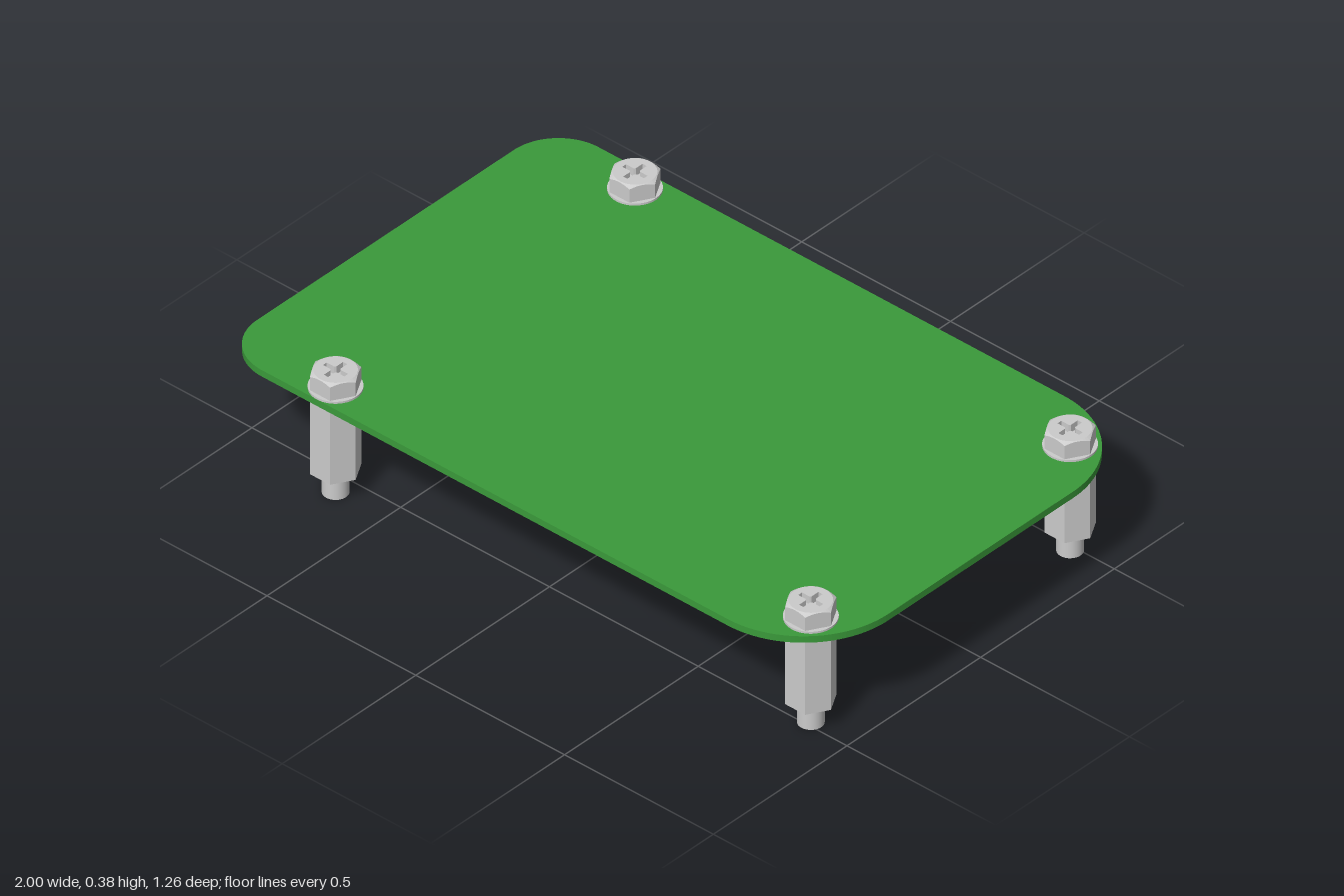
import * as THREE from 'three';

const GREY = new THREE.MeshStandardMaterial({ color: 0xcccccc });
const GREY_FLAT = new THREE.MeshStandardMaterial({ color: 0xcccccc, flatShading: true });
const GREEN = new THREE.MeshStandardMaterial({ color: 0x3a9a3a });

const APOTHEM = 0.0585;                          // half the hexagon's width across flats
const HEX_R = APOTHEM / Math.cos(Math.PI / 6);
const BOARD_Y = 0.305, BOARD_TOP = 0.325, TOP = 0.38;
const FACE_R = 0.056;                            // flat round face on the screw head

function part(name, geometry, material, y = 0) {
  const mesh = new THREE.Mesh(geometry, material);
  mesh.name = name;
  mesh.position.y = y;
  return mesh;
}

// Extrude a ground-plan shape upwards (shape y becomes -z)
function slab(shape, depth, curveSegments) {
  return new THREE.ExtrudeGeometry(shape, { depth, bevelEnabled: false, curveSegments }).rotateX(-Math.PI / 2);
}

// Plate with small corner radii on -x and large ones on +x
function boardGeometry() {
  const w = 1, d = 0.63, small = 0.15, big = 0.285, q = Math.PI / 2;
  const s = new THREE.Shape();
  s.absarc(w - big, -d + big, big, -q, 0);
  s.absarc(w - big, d - big, big, 0, q);
  s.absarc(-w + small, d - small, small, q, 2 * q);
  s.absarc(-w + small, -d + small, small, 2 * q, 3 * q);
  return slab(s, BOARD_TOP - BOARD_Y, 24);
}

// Hexagonal sides cut by a cone, leaving curved chamfers at the corners
function headSides() {
  const g = new THREE.CylinderGeometry(1, 1, 1, 48, 2, true);
  const p = g.attributes.position;
  const sixth = Math.PI / 3;
  for (let i = 0; i < p.count; i++) {
    const a = Math.atan2(p.getX(i), p.getZ(i)) + 2 * Math.PI + sixth / 2;
    const hexR = APOTHEM / Math.cos((a % sixth) - sixth / 2);
    const row = p.getY(i);
    const r = row > 0.25 ? FACE_R : hexR;
    const y = row > 0.25 ? TOP : row > -0.25 ? TOP - (hexR - FACE_R) * 0.7 : BOARD_TOP;
    p.setXYZ(i, p.getX(i) * r, y, p.getZ(i) * r);
  }
  return g;
}

// Round face with a cross-shaped driver recess
function headFace(depth) {
  const disc = new THREE.Shape().absarc(0, 0, FACE_R, 0, Math.PI * 2);
  const l = 0.036, t = 0.007, c = 0.011;         // arm length, half width, centre flare
  const arm = [[l, -t], [l, t], [c, t], [t, c]];
  const pts = [];
  for (let k = 0; k < 4; k++)
    for (const [x, y] of arm)
      pts.push(new THREE.Vector2(x, y).rotateAround(new THREE.Vector2(), k * Math.PI / 2));
  disc.holes.push(new THREE.Path(pts));
  return slab(disc, depth, 24);
}

const standoffGeo = new THREE.CylinderGeometry(HEX_R, HEX_R, BOARD_Y - 0.07, 6).rotateY(Math.PI / 6);
const studGeo = new THREE.CylinderGeometry(0.035, 0.035, 0.08, 32);
const flangeGeo = new THREE.CylinderGeometry(0.07, 0.07, 0.006, 48);
const recess = 0.025;
const sidesGeo = headSides();
const faceGeo = headFace(recess);
const floorGeo = new THREE.CircleGeometry(0.045, 24).rotateX(-Math.PI / 2);

// One hexagonal standoff with its stud below and screw above the board
function mount(x, z) {
  const g = new THREE.Group();
  g.name = 'mount';
  g.add(
    part('standoff', standoffGeo, GREY_FLAT, (BOARD_Y + 0.07) / 2),
    part('threadedStud', studGeo, GREY, 0.04),
    part('screwFlange', flangeGeo, GREY, BOARD_TOP + 0.003),
    part('screwHeadSides', sidesGeo, GREY_FLAT),
    part('screwHeadFace', faceGeo, GREY, TOP - recess),
    part('recessFloor', floorGeo, GREY, TOP - recess + 0.001)
  );
  g.position.set(x, 0, z);
  return g;
}

export function createModel() {
  const model = new THREE.Group();
  model.name = 'boardOnStandoffs';
  model.add(part('board', boardGeometry(), GREEN, BOARD_Y));
  for (const side of [-1, 1]) {
    model.add(mount(-0.665, side * 0.56), mount(0.865, side * 0.485));
  }
  return model;
}
